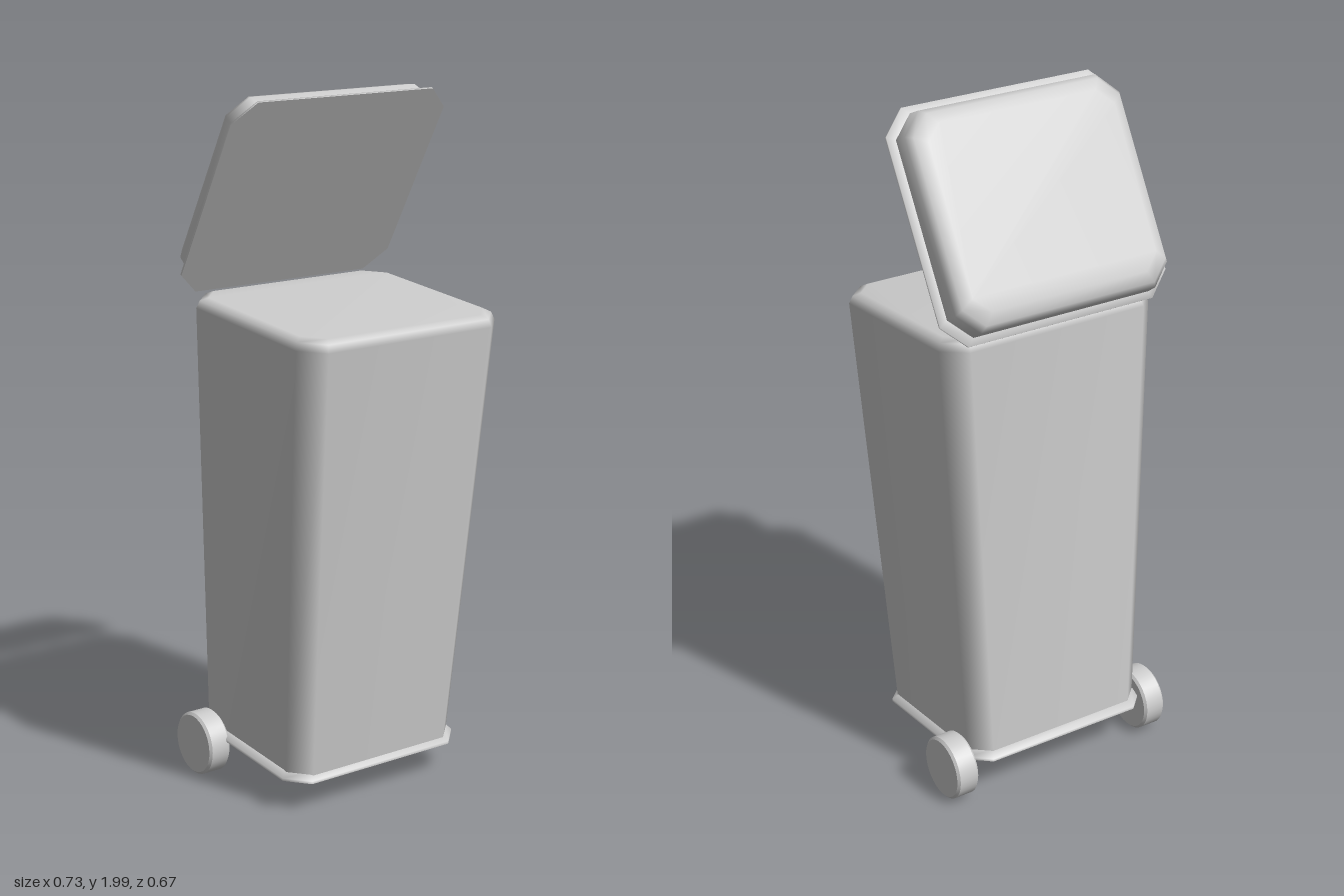
import * as THREE from 'three';
import { toCreasedNormals } from 'three/addons/utils/BufferGeometryUtils.js';

// Chamfered-rectangle outline, running from +x towards +z
function outline(hw, z0, z1, c) {
  return [[hw, z0 + c], [hw, z1 - c], [hw - c, z1], [c - hw, z1],
    [-hw, z1 - c], [-hw, z0 + c], [c - hw, z0], [hw - c, z0]];
}

// Smooth loft through rings {y, hw, z0, z1, c}; slope tilts every ring along z
function loft(rings, slope = 0, flatBottom = true) {
  const pos = [], idx = [], n = 8;
  const addRing = (r) => outline(r.hw, r.z0, r.z1, r.c)
    .forEach(([x, z]) => pos.push(x, r.y - slope * z, z));
  rings.forEach(addRing);
  for (let k = 0; k < rings.length - 1; k++) {
    for (let i = 0; i < n; i++) {
      const a = k * n + i, b = k * n + (i + 1) % n;
      idx.push(a, a + n, b, b, a + n, b + n);
    }
  }
  const top = (rings.length - 1) * n;
  for (let i = 1; i < n - 1; i++) idx.push(top, top + i + 1, top + i);
  if (flatBottom) {
    addRing(rings[0]); // own vertices keep the underside edge sharp
    const base = rings.length * n;
    for (let i = 1; i < n - 1; i++) idx.push(base, base + i, base + i + 1);
  }
  const g = new THREE.BufferGeometry();
  g.setAttribute('position', new THREE.Float32BufferAttribute(pos, 3));
  g.setIndex(idx);
  g.computeVertexNormals();
  return g;
}

const inset = (r, d, y) => ({ y, hw: r.hw - d, z0: r.z0 + d, z1: r.z1 - d, c: r.c - d * 0.3 });

export function createModel() {
  const model = new THREE.Group();
  model.name = 'wheelieBin';
  const grey = new THREE.MeshStandardMaterial({ color: 0xcccccc });
  grey.name = 'plastic grey';
  const add = (name, geometry) => {
    const mesh = new THREE.Mesh(geometry, grey);
    mesh.name = name;
    model.add(mesh);
    return mesh;
  };

  // Tapered body with a softly rounded top edge
  const foot = { y: 0.115, hw: 0.29, z0: -0.307, z1: 0.195, c: 0.055 };
  const shoulder = { y: 1.385, hw: 0.341, z0: -0.268, z1: 0.332, c: 0.062 };
  add('body', loft([foot, shoulder, inset(shoulder, 0.008, 1.406), inset(shoulder, 0.028, 1.416)], 0.076));

  // Thin lip around the foot
  const lip = inset(foot, -0.016, 0.108);
  lip.z1 = 0.207;
  add('baseLip', loft([lip, { ...lip, y: 0.116 }, inset(lip, 0.018, 0.134)], 0.077));

  // Open lid: flat underside, flared rim and domed panel, tipped back on its hinge
  const rim = { y: 0, hw: 0.362, z0: 0, z1: 0.645, c: 0.067 };
  const panel = inset(rim, 0.02, 0.014);
  const lid = new THREE.Group();
  lid.name = 'lid';
  const lidRim = add('lidRim', loft([rim, { ...rim, y: 0.006 }, inset(rim, 0.024, 0.018)]));
  const lidPanel = add('lidPanel', loft([panel, inset(rim, 0.024, 0.058),
    inset(rim, 0.038, 0.078), inset(rim, 0.07, 0.091)], 0, false));
  lid.add(lidRim, lidPanel);
  lid.position.set(0, 1.43, -0.28);
  lid.rotation.x = -Math.PI / 3;
  model.add(lid);

  // Wheels with a small edge bevel
  const profile = [[0, -0.035], [0.086, -0.035], [0.093, -0.028], [0.093, 0.028], [0.086, 0.035], [0, 0.035]]
    .map(([r, y]) => new THREE.Vector2(r, y));
  const wheelGeo = toCreasedNormals(new THREE.LatheGeometry(profile, 32), 0.7);
  for (const side of [1, -1]) {
    const wheel = add(side > 0 ? 'leftWheel' : 'rightWheel', wheelGeo);
    wheel.rotation.z = Math.PI / 2;
    wheel.position.set(side * 0.328, 0.098, -0.228);
  }

  // Axle under the rear of the body
  const axle = add('axle', new THREE.CylinderGeometry(0.016, 0.016, 0.62, 16));
  axle.rotation.z = Math.PI / 2;
  axle.position.set(0, 0.1, -0.228);

  // The whole bin stands turned very slightly
  model.rotation.y = -0.016;
  const root = new THREE.Group();
  root.name = 'bin';
  root.add(model);
  return root;
}
